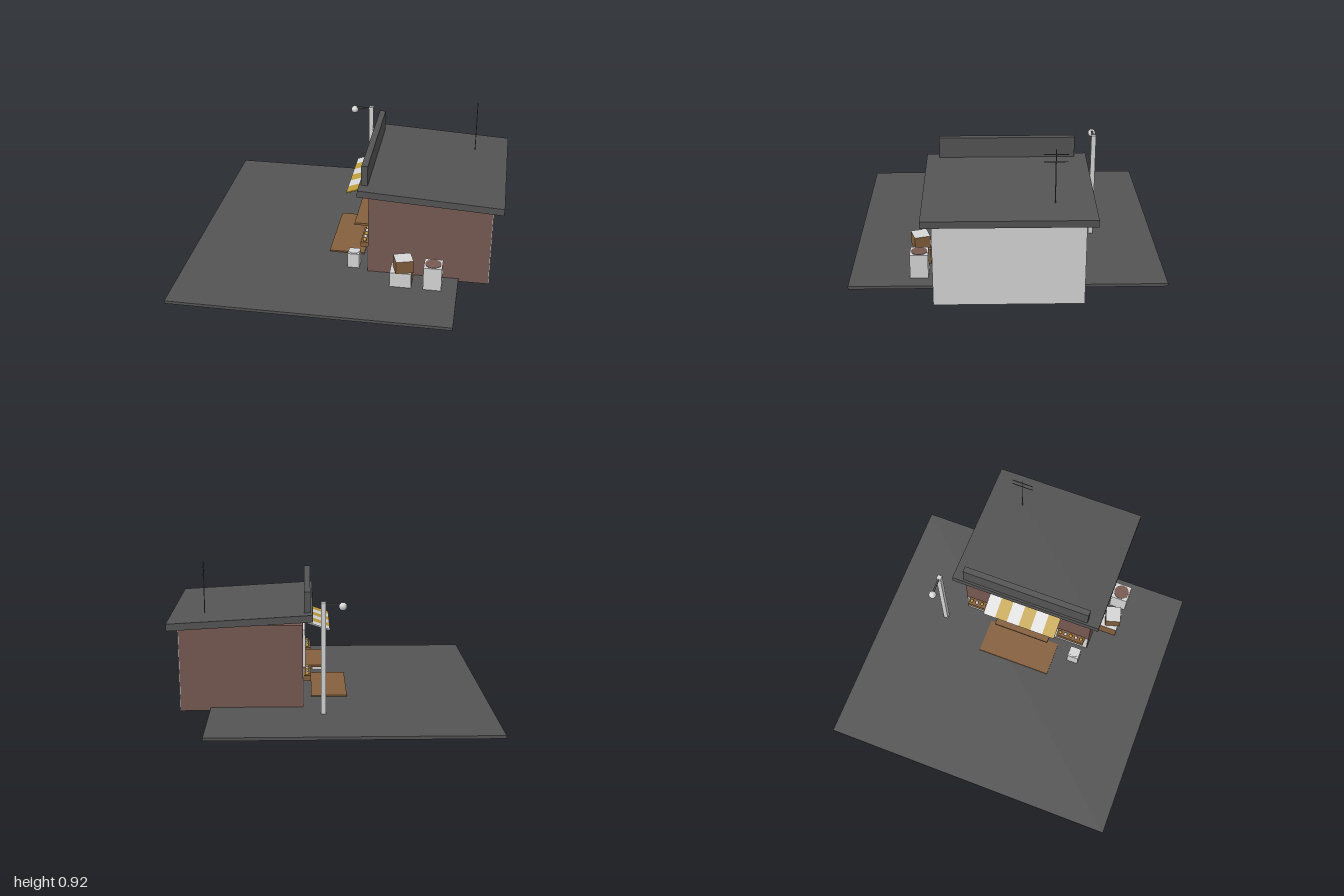
import * as THREE from 'three';

const mat = (name, color) => {
  const m = new THREE.MeshStandardMaterial({ color });
  m.name = name;
  return m;
};

export function createModel() {
  const kiosk = new THREE.Group();
  kiosk.name = 'kiosk';
  const dark = mat('darkGrey', 0x545454);
  const light = mat('lightGrey', 0xd6d6d6);
  const brick = mat('brickBrown', 0x775a52);
  const wood = mat('wood', 0x85603d);
  const yellow = mat('yellow', 0xbd9c3a);

  const add = (name, geo, material, x = 0, y = 0, z = 0) => {
    const mesh = new THREE.Mesh(geo, material);
    mesh.name = name;
    mesh.position.set(x, y, z);
    kiosk.add(mesh);
    return mesh;
  };
  // Box given by its minimum and maximum on each axis
  const box = (name, material, x0, x1, y0, y1, z0, z1) =>
    add(name, new THREE.BoxGeometry(x1 - x0, y1 - y0, z1 - z0), material,
      (x0 + x1) / 2, (y0 + y1) / 2, (z0 + z1) / 2);
  // Slab following a line in the x-y plane, wide in z
  const slab = (name, material, xa, ya, xb, yb, thick, z0, z1) => {
    const geo = new THREE.BoxGeometry(Math.hypot(xb - xa, yb - ya), thick, z1 - z0);
    const mesh = add(name, geo, material, (xa + xb) / 2, (ya + yb) / 2, (z0 + z1) / 2);
    mesh.rotation.z = Math.atan2(yb - ya, xb - xa);
    return mesh;
  };

  // Pavement and doormat
  box('pavement', dark, -1, 0.745, 0.001, 0.02, -0.97, 0.97);
  box('mat', wood, -0.11, 0.12, 0.02, 0.029, -0.25, 0.25);

  // Hut shell with a serving window facing -x
  box('floor', brick, 0.175, 0.93, 0, 0.03, -0.44, 0.44);
  box('ceiling', brick, 0.175, 0.93, 0.525, 0.545, -0.44, 0.44);
  box('backWall', brick, 0.91, 0.93, 0, 0.545, -0.44, 0.44);
  box('backCladding', light, 0.93, 0.935, 0, 0.54, -0.445, 0.445);
  box('frontWallLower', brick, 0.175, 0.195, 0, 0.21, -0.44, 0.44);
  box('frontCladding', light, 0.168, 0.175, 0, 0.2, -0.44, 0.44);
  box('frontWallUpper', brick, 0.17, 0.195, 0.45, 0.545, -0.44, 0.44);
  for (const s of [-1, 1]) {
    const span = (a, b) => (s > 0 ? [a, b] : [-b, -a]);
    box('sideWall', brick, 0.17, 0.93, 0, 0.545, ...span(0.425, 0.445));
    box('frontWallSide', brick, 0.17, 0.195, 0.2, 0.46, ...span(0.2, 0.43));
    box('windowPost', light, 0.155, 0.172, 0.2, 0.455, ...span(0.19, 0.21));
    // Flower boxes beside the window
    box('planter', wood, 0.12, 0.168, 0.18, 0.215, ...span(0.23, 0.42));
    for (let i = 0; i < 5; i++) {
      add('flower', new THREE.SphereGeometry(0.012, 8, 6), i % 2 ? light : yellow,
        0.143, 0.224, s * (0.25 + i * 0.0375));
    }
  }
  box('windowHeader', light, 0.155, 0.172, 0.44, 0.455, -0.19, 0.19);
  box('counter', wood, 0.045, 0.195, 0.2, 0.215, -0.19, 0.19);

  // Sloping roof with sign board
  slab('roof', dark, 0.107, 0.6, 0.996, 0.55, 0.044, -0.505, 0.505);
  box('signBoard', dark, 0.122, 0.162, 0.59, 0.75, -0.43, 0.425);

  // Striped awning
  const stripe = 0.495 / 6;
  for (let i = 0; i < 6; i++) {
    const z = -0.25 + i * stripe;
    slab('awningStripe', i % 2 ? yellow : light, 0, 0.462, 0.172, 0.523, 0.008, z, z + stripe);
  }

  // Roof antenna
  add('antennaMast', new THREE.CylinderGeometry(0.003, 0.003, 0.35, 6), dark, 0.783, 0.74, -0.27);
  for (const y of [0.885, 0.84]) box('antennaBar', dark, 0.781, 0.785, y - 0.002, y + 0.002, -0.34, -0.2);

  // Street lamp
  box('lampPost', light, 0.03, 0.06, 0.02, 0.717, -0.578, -0.548);
  box('lampArm', dark, -0.07, 0.032, 0.701, 0.71, -0.568, -0.558);
  add('lampGlobe', new THREE.SphereGeometry(0.025, 16, 12), light, -0.072, 0.69, -0.563);

  // Bins and crates
  box('smallBin', light, 0.037, 0.111, 0.02, 0.12, 0.345, 0.42);
  add('smallBinLid', new THREE.CylinderGeometry(0.032, 0.032, 0.003, 16), light, 0.074, 0.121, 0.3825);
  box('largeBin', light, 0.535, 0.648, 0.02, 0.175, 0.488, 0.6);
  add('largeBinContents', new THREE.CylinderGeometry(0.05, 0.05, 0.003, 20), brick, 0.591, 0.176, 0.544);
  box('lowerCrate', [wood, wood, light, wood, light, light], 0.327, 0.461, 0.02, 0.12, 0.48, 0.598);
  const crate = box('upperCrate', [wood, wood, light, wood, wood, wood], 0.35, 0.46, 0.12, 0.203, 0.49, 0.59);
  crate.position.z = 0.545;
  crate.rotation.y = 0.29;

  return kiosk;
}
